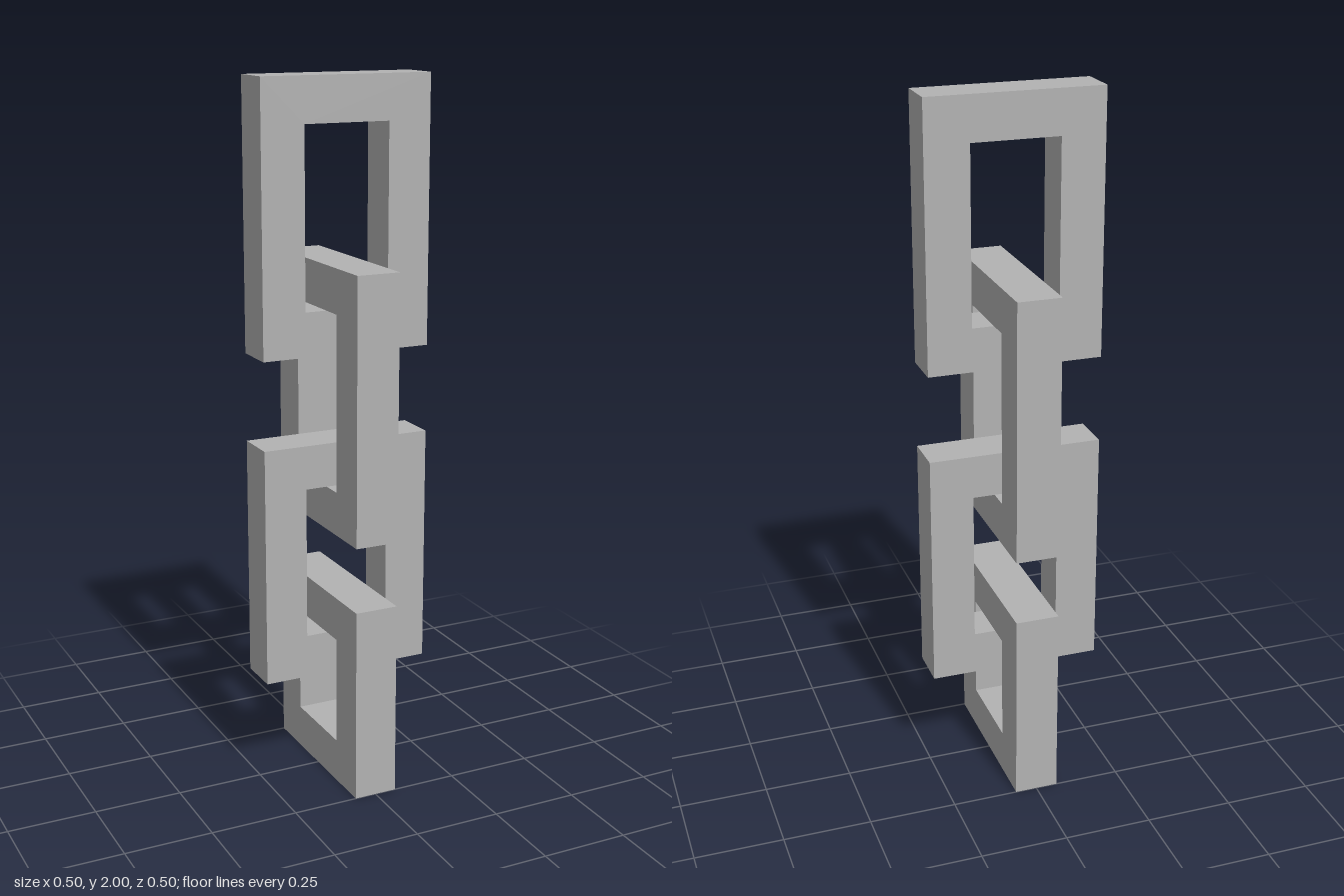
import * as THREE from 'three';

const BAR = 0.125; // square bar thickness
const WIDTH = 0.5; // outer width of a link

// Rectangular ring with its base at y = 0, centred in depth
function linkGeometry(height) {
  const w = WIDTH / 2, i = w - BAR;
  const shape = new THREE.Shape([
    new THREE.Vector2(-w, 0), new THREE.Vector2(w, 0),
    new THREE.Vector2(w, height), new THREE.Vector2(-w, height),
  ]);
  shape.holes.push(new THREE.Path([
    new THREE.Vector2(-i, BAR), new THREE.Vector2(-i, height - BAR),
    new THREE.Vector2(i, height - BAR), new THREE.Vector2(i, BAR),
  ]));
  return new THREE.ExtrudeGeometry(shape, { depth: BAR, bevelEnabled: false })
    .translate(0, 0, -BAR / 2);
}

export function createModel() {
  const group = new THREE.Group();
  group.name = 'chain';
  const metal = new THREE.MeshStandardMaterial({ color: 0xb2b2b2 });
  metal.name = 'grey metal';

  // Links from top to bottom: [name, bottom, top], turned a quarter each time
  const links = [
    ['topLink', 1.25, 2],
    ['upperMiddleLink', 0.75, 1.5],
    ['lowerMiddleLink', 0.3125, 1],
    ['bottomLink', 0, 0.5625],
  ];
  links.forEach(([name, bottom, top], n) => {
    const link = new THREE.Mesh(linkGeometry(top - bottom), metal);
    link.name = name;
    link.position.y = bottom;
    link.rotation.y = (n % 2) * Math.PI / 2;
    group.add(link);
  });
  return group;
}
